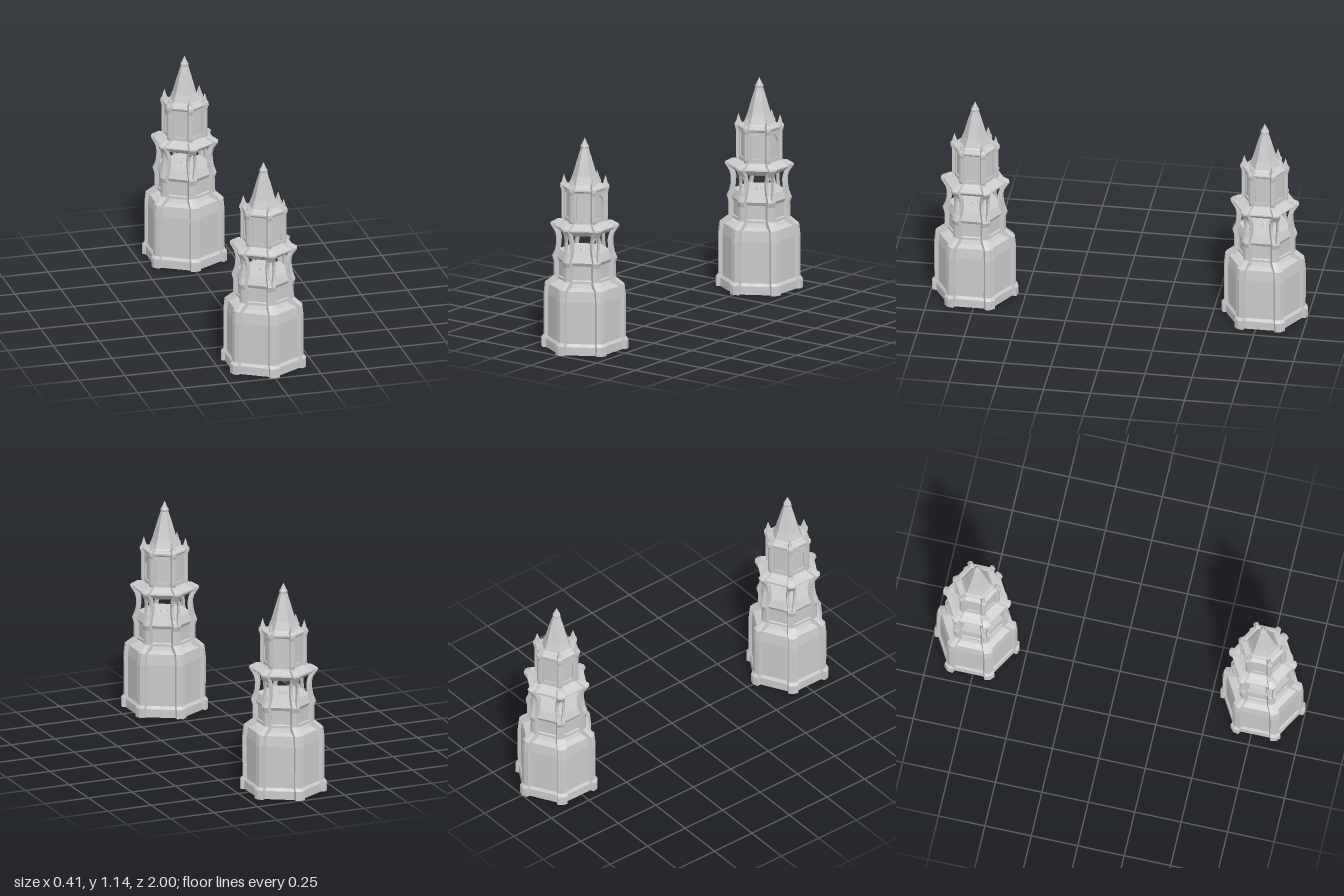
import * as THREE from 'three';

const material = new THREE.MeshStandardMaterial({ color: 0xcccccc, flatShading: true });

function addMesh(parent, name, geometry) {
  const mesh = new THREE.Mesh(geometry, material);
  mesh.name = name;
  parent.add(mesh);
  return mesh;
}

// Six-sided solid from [radius, y] pairs listed bottom to top; corners on the z axis
function hexSolid(parent, name, profile) {
  const points = profile.map(([r, y]) => new THREE.Vector2(r, y));
  return addMesh(parent, name, new THREE.LatheGeometry(points, 6));
}

// Corner rib lofted through [y, outer radius, inner radius, half width, half gap].
// It is made of two mirrored strands that part wherever the gap is above zero.
function ribGeometry(sections) {
  const positions = [];
  for (const side of [1, -1]) {
    const rings = sections.map(([y, outer, inner, w, gap = 0]) => [
      [gap, outer - 0.3 * gap], [w, outer - 0.3 * w], [w, inner - 0.3 * w], [gap, inner],
    ].map(([x, z]) => [side * x, y, z]));
    const triangle = (a, b, c) => positions.push(...a, ...(side > 0 ? b : c), ...(side > 0 ? c : b));
    const quad = (a, b, c, d) => { triangle(a, b, c); triangle(a, c, d); };
    for (let j = 0; j < rings.length - 1; j++) {
      for (let i = 0; i < 4; i++) {
        const k = (i + 1) % 4;
        quad(rings[j][i], rings[j][k], rings[j + 1][k], rings[j + 1][i]);
      }
    }
    const first = rings[0], last = rings[rings.length - 1];
    quad(first[3], first[2], first[1], first[0]);
    quad(...last);
  }
  const geometry = new THREE.BufferGeometry();
  geometry.setAttribute('position', new THREE.Float32BufferAttribute(positions, 3));
  geometry.computeVertexNormals();
  return geometry;
}

function aroundCorners(parent, name, geometry) {
  for (let i = 0; i < 6; i++) addMesh(parent, name, geometry).rotation.y = (i * Math.PI) / 3;
}

// Flat outline: rectangle, or pointed arch when a spring height is given
function outline(ShapeType, halfWidth, bottom, top, spring = top) {
  const s = new ShapeType();
  s.moveTo(-halfWidth, bottom);
  s.lineTo(halfWidth, bottom);
  s.lineTo(halfWidth, spring);
  if (spring < top) {
    s.quadraticCurveTo(halfWidth * 0.8, (spring + top) / 2, 0, top);
    s.quadraticCurveTo(-halfWidth * 0.8, (spring + top) / 2, -halfWidth, spring);
  } else {
    s.lineTo(-halfWidth, top);
  }
  s.closePath();
  return s;
}

// Lantern wall with a recessed panel
function wallGeometry(arched) {
  const wall = outline(THREE.Shape, 0.056, 0.685, 0.87);
  wall.holes.push(outline(THREE.Path, 0.034, 0.71, 0.842, arched ? 0.795 : 0.842));
  return new THREE.ExtrudeGeometry(wall, { depth: 0.008, bevelEnabled: false, curveSegments: 4 });
}

function createTower() {
  const tower = new THREE.Group();

  // Lower body with plinth and sloping shoulder
  hexSolid(tower, 'lowerBody', [
    [0, 0], [0.217, 0], [0.217, 0.045], [0.205, 0.06], [0.206, 0.285],
    [0.198, 0.342], [0.165, 0.355], [0, 0.355],
  ]);

  // Drum held above the body, leaving a narrow open slot
  hexSolid(tower, 'drum', [
    [0, 0.375], [0.152, 0.375], [0.152, 0.388], [0.145, 0.393], [0.145, 0.468],
    [0.157, 0.487], [0.139, 0.53], [0, 0.53],
  ]);

  // Canopy with a flared underside
  hexSolid(tower, 'canopy', [
    [0, 0.627], [0.125, 0.627], [0.142, 0.635], [0.158, 0.648], [0.174, 0.66],
    [0.173, 0.667], [0.145, 0.676], [0.118, 0.69], [0, 0.69],
  ]);

  // Small rings on the drum top and the canopy underside
  for (const [name, y] of [['drumRing', 0.531], ['canopyRing', 0.626]]) {
    const ring = addMesh(tower, name, new THREE.TorusGeometry(0.019, 0.005, 6, 12));
    ring.rotation.x = Math.PI / 2;
    ring.position.y = y;
  }

  // Corner ribs running from the ground to the canopy, split beside the opening
  aroundCorners(tower, 'cornerRib', ribGeometry([
    [0, 0.23, 0.17, 0.027], [0.05, 0.23, 0.17, 0.027], [0.065, 0.217, 0.17, 0.025],
    [0.285, 0.218, 0.17, 0.025], [0.348, 0.211, 0.165, 0.024], [0.385, 0.164, 0.125, 0.021],
    [0.462, 0.164, 0.125, 0.021], [0.49, 0.173, 0.135, 0.021], [0.525, 0.16, 0.136, 0.022, 0.007],
    [0.56, 0.154, 0.132, 0.024, 0.012], [0.595, 0.153, 0.131, 0.024, 0.012],
    [0.625, 0.159, 0.137, 0.022, 0.006], [0.643, 0.17, 0.145, 0.02],
    [0.663, 0.183, 0.15, 0.021], [0.672, 0.182, 0.14, 0.021], [0.69, 0.148, 0.115, 0.016],
  ]));

  // Lantern: core, panelled walls, base trim and corner posts
  hexSolid(tower, 'lanternCore', [[0, 0.685], [0.104, 0.685], [0.104, 0.87], [0, 0.87]]);
  for (let i = 0; i < 6; i++) {
    const wall = addMesh(tower, 'lanternWall', wallGeometry(i % 3 === 1));
    const angle = Math.PI / 6 + (i * Math.PI) / 3;
    wall.rotation.y = angle;
    wall.position.set(Math.sin(angle) * 0.089, 0, Math.cos(angle) * 0.089);
  }
  aroundCorners(tower, 'lanternPost', ribGeometry([
    [0.685, 0.118, 0.1, 0.012], [0.705, 0.124, 0.1, 0.012], [0.845, 0.124, 0.1, 0.012],
    [0.865, 0.129, 0.1, 0.014], [0.878, 0.129, 0.1, 0.014],
  ]));

  // Cornice, roof and spire tip
  hexSolid(tower, 'cornice', [
    [0, 0.858], [0.112, 0.858], [0.121, 0.867], [0.121, 0.876], [0.1, 0.884], [0, 0.884],
  ]);
  hexSolid(tower, 'roof', [
    [0, 0.875], [0.1, 0.875], [0.081, 0.892], [0.064, 0.935], [0.041, 1.015], [0.02, 1.083], [0, 1.083],
  ]);
  hexSolid(tower, 'spireTip', [
    [0, 1.08], [0.02, 1.08], [0.022, 1.085], [0.022, 1.093], [0.018, 1.098], [0, 1.136],
  ]);

  // Curved horns on the cornice corners
  aroundCorners(tower, 'cornerHorn', ribGeometry([
    [0.868, 0.132, 0.095, 0.013], [0.882, 0.131, 0.092, 0.012], [0.895, 0.122, 0.1, 0.009],
    [0.915, 0.117, 0.105, 0.005], [0.936, 0.11, 0.109, 0.0008],
  ]));

  return tower;
}

export function createModel() {
  const model = new THREE.Group();
  model.name = 'towerPair';
  for (const [name, z] of [['frontTower', 0.77], ['backTower', -0.77]]) {
    const tower = createTower();
    tower.name = name;
    tower.position.z = z;
    model.add(tower);
  }
  return model;
}
